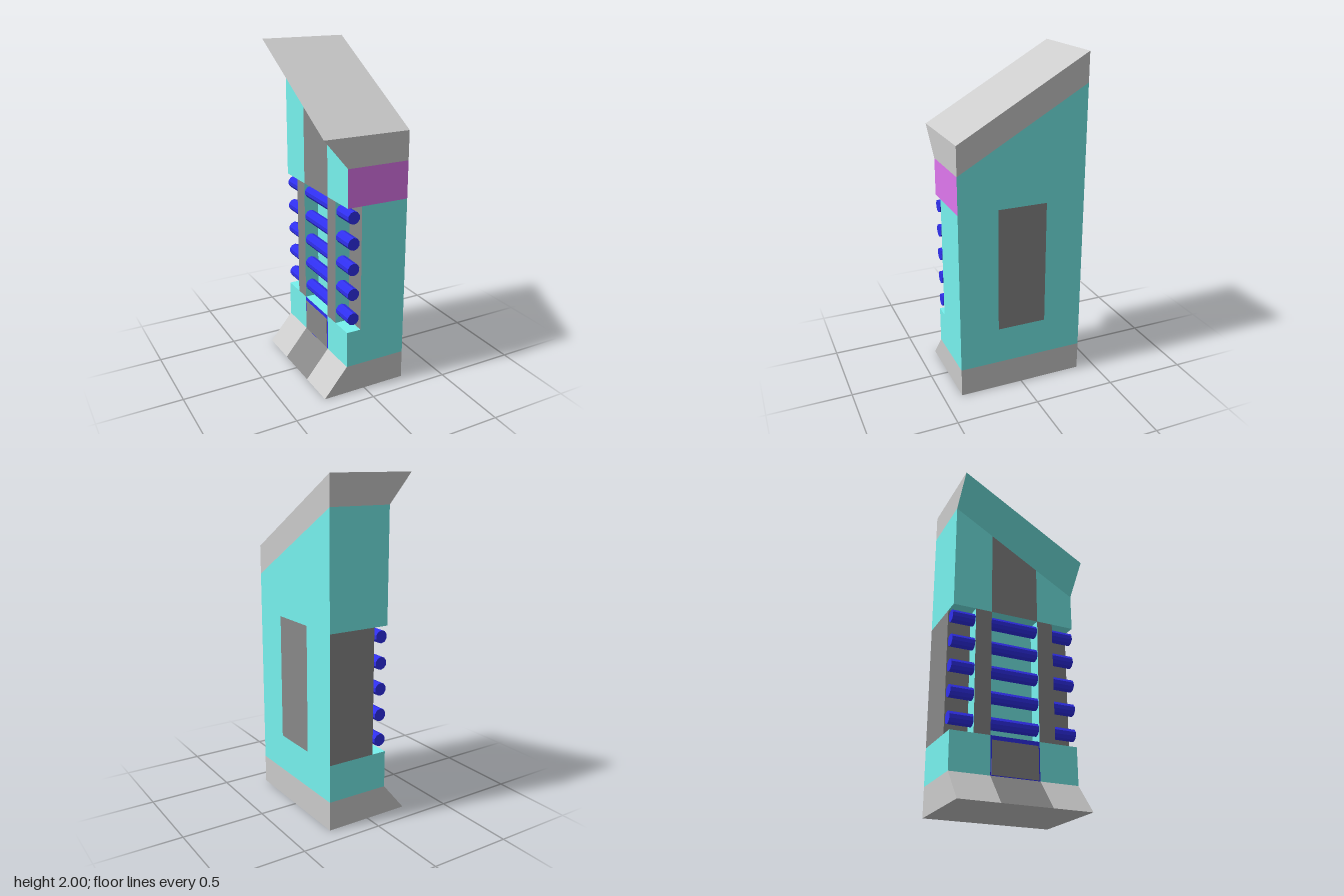
import * as THREE from 'three';

const mat = (color) => new THREE.MeshStandardMaterial({ color, flatShading: true });

// Heights of the two slanted levels, rising towards the back
const roofY = (z) => 1.7775 - 0.571 * z;
const eaveY = (z) => 1.606 - 0.571 * z;

const FLAT = 0.265;   // flat outer side
const WALL = -0.12;   // open side of the body
const FLOOR = -0.03;  // bottom of the recess
const LIP = -0.265;   // flared edge of base and cap

export function createModel() {
  const root = new THREE.Group();
  const grey = mat(0xcccccc);
  const dark = mat(0x888888);
  const teal = mat(0x77f2ee);
  const violet = mat(0xdf77ee);
  const blue = mat(0x3030f0);

  // Six-sided block; levels may depend on z, the -x side may lean,
  // and only the faces given a material are built.
  function block(name, [xLow, xHigh], [y0, y1], [z0, z1], faces) {
    const g = new THREE.BoxGeometry(1, 1, 1);
    const p = g.attributes.position;
    const level = (v, z) => (typeof v === 'function' ? v(z) : v);
    for (let i = 0; i < p.count; i++) {
      const up = p.getY(i) > 0;
      const z = p.getZ(i) > 0 ? z1 : z0;
      const x = p.getX(i) > 0 ? FLAT : up ? xHigh : xLow;
      p.setXYZ(i, x, level(up ? y1 : y0, z), z);
    }
    const index = [];
    const mats = [];
    const old = Array.from(g.index.array);
    g.clearGroups();
    ['px', 'nx', 'py', 'ny', 'pz', 'nz'].forEach((key, i) => {
      if (!faces[key]) return;
      g.addGroup(index.length, 6, mats.length);
      index.push(...old.slice(i * 6, i * 6 + 6));
      mats.push(faces[key]);
    });
    g.setIndex(index);
    g.computeVertexNormals();
    const mesh = new THREE.Mesh(g, mats);
    mesh.name = name;
    root.add(mesh);
  }

  // Body in three slices: front, middle and back
  const slices = [
    { label: 'front', z: [0.15, 0.39] },
    { label: 'middle', z: [-0.15, 0.15] },
    { label: 'back', z: [-0.39, -0.15] },
  ];
  for (const { label, z } of slices) {
    const mid = label === 'middle';
    const ends = (front, back) => ({
      pz: label === 'front' ? front : null,
      nz: label === 'back' ? back : null,
    });
    block(label + 'Base', [LIP, WALL], [0, 0.175], z,
      { px: grey, nx: mid ? dark : grey, ny: grey, ...ends(grey, grey) });
    block(label + 'LowerBody', [WALL, WALL], [0.175, 0.4], z,
      { px: teal, nx: mid ? blue : teal, py: teal, ...ends(teal, teal) });
    block(label + 'RecessWall', [FLOOR, FLOOR], [0.4, 1.16], z,
      { px: mid ? dark : teal, nx: mid ? teal : dark, ...ends(teal, dark) });
    block(label + 'UpperBody', [WALL, WALL], [1.16, eaveY], z,
      { px: teal, nx: mid ? dark : teal, ny: teal, ...ends(violet, teal) });
  }

  // Slanted cap with flared underside
  block('cap', [WALL, LIP], [eaveY, roofY], [-0.39, 0.39],
    { px: grey, nx: teal, py: grey, pz: grey, nz: grey });

  // Grey plate framed in blue below the bars
  const plate = new THREE.Mesh(new THREE.BoxGeometry(0.004, 0.195, 0.284), dark);
  plate.name = 'lowerPlate';
  plate.position.set(WALL - 0.001, 0.277, 0);
  root.add(plate);

  // Two posts carrying the bars
  for (const side of [1, -1]) {
    const post = new THREE.Mesh(new THREE.BoxGeometry(0.09, 0.76, 0.1),
      [teal, dark, teal, teal, teal, teal]);
    post.name = side > 0 ? 'frontPost' : 'backPost';
    post.position.set(-0.075, 0.78, side * 0.2);
    root.add(post);
  }

  // Row of horizontal bars
  const barShape = new THREE.CylinderGeometry(0.038, 0.038, 0.78, 10).rotateX(Math.PI / 2);
  for (let i = 0; i < 5; i++) {
    const bar = new THREE.Mesh(barShape, blue);
    bar.name = 'bar' + (i + 1);
    bar.position.set(-0.08, 0.48 + i * 0.155, 0);
    root.add(bar);
  }
  return root;
}
